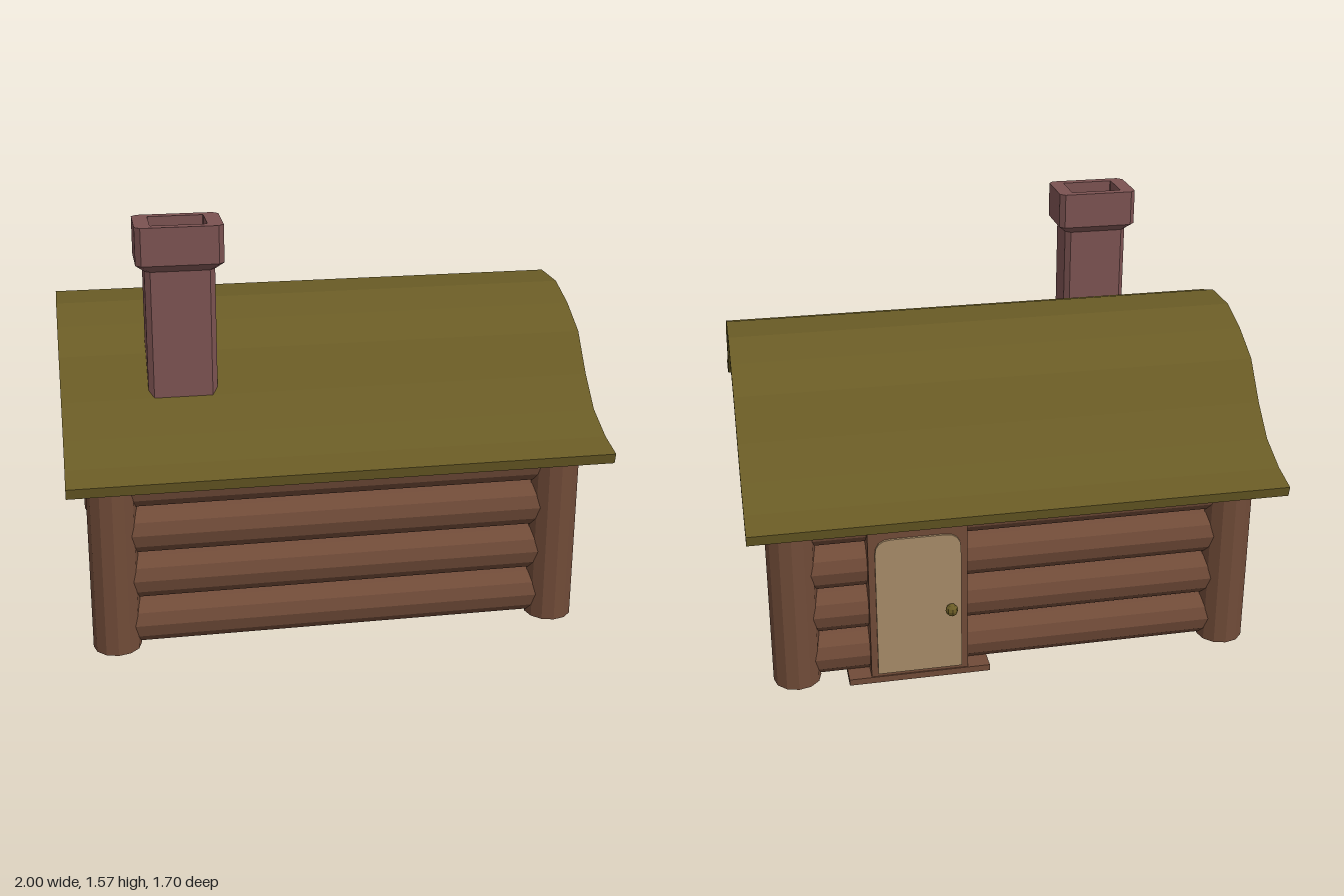
import * as THREE from 'three';

const material = (name, color) => {
  const m = new THREE.MeshStandardMaterial({ color });
  m.name = name;
  return m;
};

// Half profile of the roof from eave to ridge, as [z, y]
const OUTER = [[0.85, 0.737], [0.735, 0.763], [0.6, 0.822], [0.49, 0.928], [0.38, 1.068], [0.24, 1.143], [0.09, 1.193]];
const INNER = [[0.84, 0.697], [0.72, 0.727], [0.567, 0.786], [0.457, 0.885], [0.355, 1.027], [0.22, 1.092], [0.075, 1.146]];
const MIDDLE = OUTER.map((p, i) => [(p[0] + INNER[i][0]) / 2, (p[1] + INNER[i][1]) / 2]);

// Linear lookup along a profile: find column b where column a has the value v
function lookup(profile, a, b, v) {
  const pts = [...profile].sort((p, q) => p[a] - q[a]);
  if (v <= pts[0][a]) return pts[0][b];
  for (let i = 1; i < pts.length; i++) {
    const p = pts[i - 1], q = pts[i];
    if (v <= q[a]) return p[b] + (q[b] - p[b]) * (v - p[a]) / (q[a] - p[a]);
  }
  return pts[pts.length - 1][b];
}

// Faceted normals
function flat(geometry) {
  const g = geometry.index ? geometry.toNonIndexed() : geometry;
  g.computeVertexNormals();
  return g;
}

// Move every vertex by a rule
function reshape(geometry, rule) {
  const pos = geometry.attributes.position;
  const v = new THREE.Vector3();
  for (let i = 0; i < pos.count; i++) {
    rule(v.fromBufferAttribute(pos, i));
    pos.setXYZ(i, v.x, v.y, v.z);
  }
  return geometry;
}

// Loft through chamfered rectangles [halfX, halfZ, chamfer, y], closed at the last one
function loftRectangles(rings) {
  const points = [], index = [];
  for (const [w, d, c, y] of rings) {
    points.push(w, y, d - c, w - c, y, d, c - w, y, d, -w, y, d - c,
      -w, y, c - d, c - w, y, -d, w - c, y, -d, w, y, c - d);
  }
  for (let r = 0; r < rings.length - 1; r++) {
    for (let i = 0; i < 8; i++) {
      const a = r * 8 + i, b = r * 8 + (i + 1) % 8;
      index.push(a, a + 8, b, b, a + 8, b + 8);
    }
  }
  const last = (rings.length - 1) * 8;
  for (let i = 1; i < 7; i++) index.push(last, last + i + 1, last + i);
  // Rings run clockwise seen from above, so turn the triangles outward
  for (let i = 0; i < index.length; i += 3) {
    const [p, q, s] = [0, 1, 2].map(k => new THREE.Vector3().fromArray(points, index[i + k] * 3));
    const n = q.clone().sub(p).cross(s.clone().sub(p));
    const ring = Math.floor(Math.min(index[i], index[i + 1], index[i + 2]) / 8);
    const inside = ring >= rings.length - 2;
    const out = inside ? new THREE.Vector3(-p.x - q.x - s.x, 0.1, -p.z - q.z - s.z)
      : new THREE.Vector3(p.x + q.x + s.x, 0, p.z + q.z + s.z);
    const level = Math.abs(n.y) > 0.99 * n.length();
    if (level ? n.y < 0 : n.dot(out) < 0) [index[i + 1], index[i + 2]] = [index[i + 2], index[i + 1]];
  }
  const g = new THREE.BufferGeometry();
  g.setAttribute('position', new THREE.Float32BufferAttribute(points, 3));
  g.setIndex(index);
  return flat(g);
}

export function createModel() {
  const wood = material('log brown', 0x704b38);
  const moss = material('roof olive', 0x695b25);
  const brick = material('chimney red brown', 0x7b5251);
  const tan = material('door tan', 0xa68a67);

  const model = new THREE.Group();
  model.name = 'logCabin';
  const add = (name, geometry, mat, x = 0, y = 0, z = 0) => {
    const mesh = new THREE.Mesh(geometry, mat);
    mesh.name = name;
    mesh.position.set(x, y, z);
    model.add(mesh);
    return mesh;
  };

  // Curved roof slab
  const loop = [...OUTER, ...OUTER.map(([z, y]) => [-z, y]).reverse(),
    ...INNER.map(([z, y]) => [-z, y]), ...[...INNER].reverse()];
  const roof = new THREE.ExtrudeGeometry(new THREE.Shape(loop.map(p => new THREE.Vector2(...p))),
    { depth: 2, bevelEnabled: false });
  add('roof', flat(roof.translate(0, 0, -1).rotateY(Math.PI / 2)), moss);

  // Corner posts, their tops cut to the roof
  for (const sx of [-1, 1]) {
    for (const sz of [-1, 1]) {
      const post = new THREE.CylinderGeometry(0.09, 0.09, 0.74, 12);
      post.translate(sx * 0.84, 0.38, sz * 0.645);
      reshape(post, v => { if (v.y > 0.4) v.y = lookup(INNER, 0, 1, Math.abs(v.z)) + 0.015; });
      add('cornerPost', flat(post), wood);
    }
  }

  // Stacked wall logs
  const logY = i => 0.106 + i * 0.183;
  for (const side of [-1, 1]) {
    for (let i = 0; i < 4; i++) {
      const log = new THREE.CylinderGeometry(0.096, 0.096, 1.6, 12).rotateZ(Math.PI / 2);
      add(side > 0 ? 'frontLog' : 'backLog', flat(log), wood, 0, logY(i), side * 0.605);
    }
    // Gable logs, their ends trimmed to the roof curve
    for (let i = 0; i < 7; i++) {
      const log = new THREE.CylinderGeometry(0.096, 0.096, 1.24, 12).rotateX(Math.PI / 2);
      log.translate(side * 0.79, logY(i), 0);
      reshape(log, v => {
        v.y = Math.min(v.y, 1.16);
        v.z = Math.sign(v.z) * Math.min(0.62, lookup(MIDDLE, 1, 0, v.y));
      });
      add('gableLog', flat(log), wood);
    }
  }

  // Chimney with flared cap and open flue
  add('chimney', loftRectangles([
    [0.128, 0.088, 0.02, 0.925], [0.128, 0.088, 0.02, 1.405], [0.16, 0.112, 0.02, 1.432],
    [0.16, 0.112, 0.02, 1.572], [0.103, 0.075, 0.003, 1.572], [0.103, 0.075, 0.003, 1.42],
  ]), brick, -0.552, 0, 0.402);

  // Back door: frame, sill, panel with rounded top corners, knob
  add('doorFrame', new THREE.BoxGeometry(0.37, 0.64, 0.205), wood, 0.38, 0.33, -0.6225);
  add('doorSill', new THREE.BoxGeometry(0.54, 0.025, 0.2), wood, 0.38, 0.0125, -0.63);
  const w = 0.16, h = 0.57, r = 0.06;
  const panel = new THREE.Shape();
  panel.moveTo(-w, 0);
  panel.lineTo(w, 0);
  panel.lineTo(w, h - r);
  panel.quadraticCurveTo(w, h, w - r, h);
  panel.lineTo(r - w, h);
  panel.quadraticCurveTo(-w, h, -w, h - r);
  add('door', new THREE.ExtrudeGeometry(panel, { depth: 0.009, bevelEnabled: false, curveSegments: 4 }),
    tan, 0.38, 0.04, -0.734);
  add('doorKnob', flat(new THREE.SphereGeometry(0.024, 8, 6)), moss, 0.26, 0.3, -0.752);

  return model;
}
